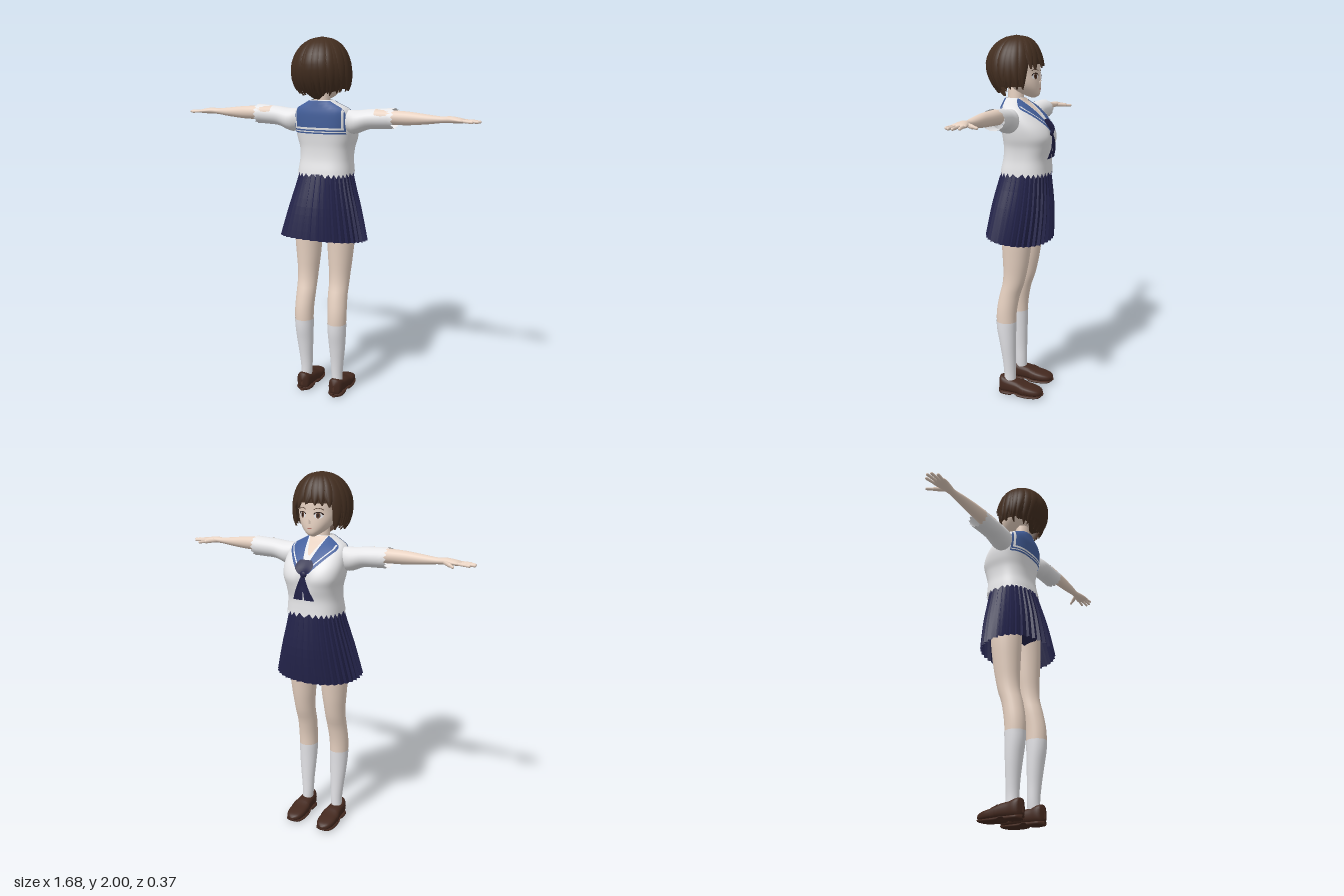
import * as THREE from 'three';

const mat = (name, color) => Object.assign(
  new THREE.MeshStandardMaterial({ color, side: THREE.DoubleSide }), { name });
const M = {
  hair: mat('brown hair', 0x432e20), skin: mat('skin', 0xf6dfce), shirt: mat('white blouse', 0xececee),
  sock: mat('white sock', 0xe6e6ea), navy: mat('navy cloth', 0x23234a), blue: mat('blue collar', 0x44609c),
  shoe: mat('brown leather', 0x44291f), iris: mat('brown iris', 0x5e3c2a), dark: mat('dark lash', 0x2a1a14),
  lip: mat('lip', 0xb5756a),
};
const lerp = THREE.MathUtils.lerp;

// Smooth interpolation through rows [t, a, b, ...] sorted by t
function sample(rows, t) {
  let i = 0;
  while (i < rows.length - 2 && t > rows[i + 1][0]) i++;
  const slope = (k, c) => {
    const a = rows[Math.max(k - 1, 0)], b = rows[Math.min(k + 1, rows.length - 1)];
    return (b[c] - a[c]) / (b[0] - a[0]);
  };
  const p = rows[i], q = rows[i + 1], h = q[0] - p[0];
  const s = THREE.MathUtils.clamp((t - p[0]) / h, 0, 1), s2 = s * s, s3 = s2 * s;
  return p.slice(1).map((v, k) => (2 * s3 - 3 * s2 + 1) * v + (3 * s2 - 2 * s3) * q[k + 1]
    + h * ((s3 - 2 * s2 + s) * slope(i, k + 1) + (s3 - s2) * slope(i + 1, k + 1)));
}

// Surface from f(u, v); closed joins u = 1 to u = 0
function grid(nu, nv, f, closed = true) {
  const pos = [], idx = [], w = closed ? nu : nu + 1;
  for (let j = 0; j <= nv; j++) for (let i = 0; i < w; i++) pos.push(...f(i / nu, j / nv, i));
  for (let j = 0; j < nv; j++) for (let i = 0; i < nu; i++) {
    const a = j * w + i, b = j * w + (i + 1) % w, c = a + w, d = b + w;
    idx.push(a, b, d, a, d, c);
  }
  const g = new THREE.BufferGeometry();
  g.setAttribute('position', new THREE.Float32BufferAttribute(pos, 3));
  g.setIndex(idx);
  g.computeVertexNormals();
  return g;
}
const oval = (u, e) => [Math.cos(u * 2 * Math.PI), Math.sin(u * 2 * Math.PI)]
  .map(c => Math.sign(c) * Math.abs(c) ** (2 / e));
// Point on an upright form; rows [y, centre x, half width, back z, front z]
function around(rows, y, u, e = 2, grow = 0) {
  const [cx, rx, zb, zf] = sample(rows, y), [c, s] = oval(u, e);
  return [cx + (rx + grow) * c, y, (zb + zf) / 2 - ((zb - zf) / 2 + grow) * s];
}
const column = (rows, y0, y1, nu, nv, e = 2, grow = 0) =>
  grid(nu, nv, (u, v) => around(rows, lerp(y0, y1, v), u, e, grow));
// Form along x; rows [x, centre y, half height, centre z, half depth]
const limb = (rows, nu, nv, zig = 0) => grid(nu, nv, (u, v, i) => {
  const x = lerp(rows[0][0], rows.at(-1)[0], v), [cy, ry, cz, rz] = sample(rows, x), [c, s] = oval(u, 2);
  return [x + (v === 1 ? zig * (i % 2) : 0), cy + ry * c, cz + rz * s];
});
// z of a form at a given x and y; side 1 = back, -1 = front
function depth(rows, x, y, side, e) {
  const [cx, rx, zb, zf] = sample(rows, y), k = Math.min(Math.abs((x - cx) / rx), 0.99);
  return (zb + zf) / 2 + side * (zb - zf) / 2 * (1 - k ** e) ** (1 / e);
}

const HEAD = [[1.675, 0, .006, -.06, -.075], [1.685, 0, .026, -.03, -.097], [1.71, 0, .06, .02, -.104],
  [1.75, 0, .09, .07, -.104], [1.8, 0, .11, .13, -.1], [1.86, 0, .12, .15, -.098], [1.92, 0, .1, .13, -.075],
  [1.96, 0, .05, .08, -.03], [1.97, 0, .004, .03, .02]];
const HAIR = [[1.68, 0, .085, .095, -.05], [1.72, 0, .132, .13, -.09], [1.77, 0, .152, .162, -.104],
  [1.82, 0, .157, .18, -.11], [1.87, 0, .15, .181, -.109], [1.92, 0, .13, .16, -.095],
  [1.96, 0, .097, .125, -.07], [1.985, 0, .055, .08, -.035], [1.996, 0, .004, .03, .02]];
const TORSO = [[1.265, 0, .151, .101, -.166], [1.3, 0, .148, .095, -.163], [1.36, 0, .142, .082, -.162],
  [1.42, 0, .146, .079, -.176], [1.47, 0, .16, .083, -.184], [1.52, 0, .167, .088, -.165],
  [1.57, 0, .165, .09, -.125], [1.61, 0, .155, .09, -.085], [1.635, 0, .135, .086, -.055],
  [1.655, 0, .095, .083, -.03], [1.675, 0, .058, .08, -.015]];
const SLEEVE = [[.08, 1.575, .04, .005, .035], [.13, 1.57, .053, .005, .045], [.17, 1.563, .062, .01, .06],
  [.2, 1.565, .06, .011, .064], [.26, 1.58, .052, .008, .06], [.33, 1.585, .052, .004, .058], [.39, 1.588, .053, .002, .06]];
const ARM = [[.3, 1.594, .04, .02, .04], [.4, 1.594, .037, .022, .037], [.48, 1.593, .034, .024, .032],
  [.58, 1.592, .024, .024, .026], [.65, 1.593, .016, .022, .02], [.69, 1.595, .017, .022, .027],
  [.74, 1.592, .013, .022, .037], [.768, 1.59, .007, .022, .034], [.772, 1.59, .001, .022, .01]];
const LEG = [[.05, .1, .028, .065, 0], [.12, .096, .031, .065, 0], [.2, .098, .036, .072, 0], [.3, .1, .045, .087, -.001],
  [.4, .101, .051, .104, -.003], [.5, .101, .0535, .105, -.008], [.6, .097, .055, .088, -.027], [.66, .097, .056, .072, -.048],
  [.72, .097, .059, .066, -.063], [.8, .097, .067, .068, -.078], [.94, .0975, .078, .075, -.095], [1.1, .09, .085, .08, -.1]];
const SKIRT = [[.92, 0, .243, .175, -.167], [1, 0, .222, .163, -.172], [1.1, 0, .195, .145, -.174],
  [1.2, 0, .165, .12, -.167], [1.285, 0, .143, .097, -.158]];
// Shoe rows [z, half width, top y, bottom y]
const SHOE = [[-.165, .008, .034, .02], [-.152, .033, .047, .014], [-.11, .05, .06, .01], [-.06, .051, .07, .01],
  [-.02, .047, .085, .012], [.03, .042, .093, .012], [.07, .039, .104, .01], [.09, .026, .1, .012], [.096, .004, .07, .03]];
const SOLE = [[-.168, .008, .026, .016], [-.15, .038, .02, .005], [-.1, .053, .018, 0], [-.03, .05, .02, 0],
  [-.012, .047, .022, .012], [.006, .045, .022, .012], [.012, .045, .022, 0], [.075, .041, .022, 0], [.098, .01, .022, 0]];
const shoeForm = (rows, z0, z1, n, grow = 0) => grid(24, n, (u, v) => {
  const z = lerp(z0, z1, v), [hw, t, b] = sample(rows, z), [c, s] = oval(u, 2.7);
  return [.1 + (hw + grow) * c, Math.max(0, (t + b) / 2 + ((t - b) / 2 + grow) * s), z];
});

export function createModel() {
  const model = new THREE.Group();
  const add = (name, geo, material, parent = model) => {
    const m = new THREE.Mesh(geo, material);
    m.name = name;
    parent.add(m);
    return m;
  };
  let seed = 7;
  const rnd = () => (seed = (seed * 16807) % 2147483647) / 2147483647;

  // Head, neck and face
  add('head', column(HEAD, 1.675, 1.97, 32, 28, 2.2), M.skin);
  add('neck', column([[1.62, 0, .045, .072, -.02], [1.73, 0, .04, .07, -.01]], 1.62, 1.73, 20, 2), M.skin);
  const nose = add('nose', new THREE.ConeGeometry(.009, .026, 8), M.skin);
  nose.position.set(0, 1.757, -.106);
  nose.rotation.x = -.6;
  const facePatch = (name, geo, x, y, sx, sy, off, material) => {
    geo.scale(sx, sy, 1).rotateY(Math.PI).translate(x, y, 0);
    const p = geo.attributes.position;
    for (let i = 0; i < p.count; i++) p.setZ(i, depth(HEAD, p.getX(i), p.getY(i), -1, 2.2) - off);
    geo.computeVertexNormals();
    add(name, geo, material);
  };
  for (const s of [-1, 1]) {
    facePatch('eyeWhite', new THREE.CircleGeometry(1, 20), s * .046, 1.786, .022, .015, .002, M.sock);
    facePatch('iris', new THREE.CircleGeometry(1, 20), s * .045, 1.786, .011, .015, .003, M.iris);
    facePatch('pupil', new THREE.CircleGeometry(1, 14), s * .045, 1.786, .005, .008, .004, M.dark);
    facePatch('lash', new THREE.RingGeometry(.84, 1.1, 16, 1, .25, 2.64), s * .046, 1.786, .024, .017, .004, M.dark);
    facePatch('brow', new THREE.RingGeometry(.92, 1.02, 12, 1, .7, 1.75), s * .046, 1.795, .034, .028, .003, M.hair);
  }
  facePatch('mouth', new THREE.CircleGeometry(1, 14), 0, 1.72, .014, .0025, .002, M.lip);

  // Hair: a cap with a fringe opening, covered by pointed locks
  const hairEnd = u => {
    const front = Math.sin(u * 2 * Math.PI);
    return front > .68 ? 1.835 : front > -.5 ? 1.722 : 1.712 + .02 * (front + .5);
  };
  add('hairCap', grid(64, 18, (u, v) =>
    around(HAIR, lerp(hairEnd(u) + .012, 1.996, Math.sin(v * Math.PI / 2)), u, 2, -.003)), M.hair);
  add('napeHair', grid(10, 4, (u, v) => {
    const x = (u - .5) * lerp(.03, .18, v), y = lerp(1.68, 1.74, v);
    return [x, y, depth(HAIR, x, y, 1, 2) - .003];
  }, false), M.hair);
  const locks = new THREE.Group();
  locks.name = 'hairLocks';
  model.add(locks);
  for (let layer = 0; layer < 2; layer++) for (let k = 0; k < 22; k++) {
    const u0 = (k + layer * .5 + (rnd() - .5) * .4) / 22, end = hairEnd(u0 - Math.floor(u0)) + (rnd() - .6) * .03 + layer * .012;
    const width = .062 + rnd() * .02, sweep = (rnd() - .5) * .05;
    add('lock', grid(6, 14, (u, v) => {
      const y = lerp(end, 1.993, Math.sin(v * Math.PI / 2));
      const a = u0 + sweep * (1 - v) + (u - .5) * width * Math.min(1, v * 3.2 + .04) ** .7;
      const bulge = (.009 - .003 * layer) * (1 - (2 * u - 1) ** 2) * (1 - v * .7) - .002;
      return around(HAIR, y, a, 2, bulge + .012 * Math.max(0, .25 - v));
    }, false), M.hair, locks);
  }

  // Blouse with ragged hem and a soft dip at the centre of the chest
  const dip = (x, y) => .02 * Math.exp(-((x / .035) ** 2) - ((y - 1.46) / .06) ** 2);
  add('blouse', grid(56, 36, (u, v, i) => {
    const y = v === 0 ? 1.265 + .022 * (i % 2) : lerp(1.287, 1.675, v), p = around(TORSO, y, u, 2.7);
    if (p[2] < -.04) p[2] += dip(p[0], y);
    return p;
  }), M.shirt);
  // Thin cloth laid on the torso; left and right edges are functions of v
  const cloth = (name, side, y0, y1, left, right, off, material) => add(name, grid(12, 14, (u, v) => {
    const y = lerp(y0, y1, v), lim = .93 * sample(TORSO, y)[1];
    const a = lerp(left(v), right(v), side > 0 ? u : 1 - u), x = THREE.MathUtils.clamp(a, -lim, lim);
    return [x, y, depth(TORSO, x, y, side, 2.7) + side * off + (side < 0 ? dip(x, y) : 0)];
  }, false), material);
  const k = c => () => c;
  cloth('backCollar', 1, 1.5, 1.672, k(-.146), k(.146), .005, M.blue);
  cloth('collarStripe', 1, 1.522, 1.533, k(-.14), k(.14), .008, M.shirt);
  cloth('collarStripe', 1, 1.508, 1.514, k(-.146), k(.146), .008, M.shirt);
  cloth('neckline', -1, 1.585, 1.673, v => -.006 - .045 * v, v => .006 + .045 * v, .003, M.skin);
  for (const s of [-1, 1]) {
    cloth('collarSideStripe', 1, 1.522, 1.63, k(s * .128), k(s * .139), .008, M.shirt);
    const inner = v => s * .055 * v, outer = v => s * Math.min(.03 + .16 * v, .135);
    cloth('frontCollar', -1, 1.5, 1.672, inner, outer, .006, M.blue);
    cloth('frontCollarStripe', -1, 1.51, 1.635, v => outer(v * .75) - s * .02, v => outer(v * .75) - s * .011, .009, M.shirt);
    cloth('scarfBand', -1, 1.49, 1.565, k(0), v => s * (.012 + .04 * Math.sin(v * 2.6)), .011, M.navy);
    cloth('scarfTail', -1, 1.36, 1.495, v => s * .034 * (1 - v) - .022 * (1 - v) - .007,
      v => s * .034 * (1 - v) + .022 * (1 - v) + .007, .012, M.navy);
  }
  const knot = add('scarfKnot', new THREE.SphereGeometry(1, 14, 10), M.navy);
  knot.scale.set(.018, .018, .011);
  knot.position.set(0, 1.495, depth(TORSO, 0, 1.495, -1, 2.7) + .006);

  // Pleated skirt, longer in front
  const skirt = grid(144, 8, (u, v, i) => {
    const y = lerp(.92, 1.285, v), pleat = [.003, -.002, -.006, -.011][i % 4] * (1.15 - v * .8);
    const p = around(SKIRT, y, u, 2.15, pleat + .003);
    p[1] -= .018 * Math.sin(u * 2 * Math.PI) * (1 - v);
    return p;
  }).toNonIndexed();
  skirt.computeVertexNormals();
  add('skirt', skirt, M.navy);
  add('hips', column([[.97, 0, .05, .03, -.05], [1, 0, .15, .08, -.1], [1.1, 0, .16, .1, -.12], [1.25, 0, .13, .08, -.13]],
    .97, 1.25, 28, 8), M.navy);

  // Arms and legs, mirrored
  const up = new THREE.Vector3(0, 1, 0);
  for (const s of [1, -1]) {
    const side = new THREE.Group();
    side.name = s > 0 ? 'leftLimbs' : 'rightLimbs';
    side.scale.x = s;
    model.add(side);
    add('sleeve', limb(SLEEVE, 28, 16, .014), M.shirt, side);
    add('arm', limb(ARM, 20, 30), M.skin, side);
    const finger = (name, a, b, r) => {
      const p = new THREE.Vector3(...a), d = new THREE.Vector3(...b).sub(p);
      const m = add(name, new THREE.CapsuleGeometry(r, d.length(), 4, 8), M.skin, side);
      m.position.copy(p).addScaledVector(d, .5);
      m.quaternion.setFromUnitVectors(up, d.normalize());
    };
    [[-.004, .812, -.013], [.014, .832, .011], [.032, .827, .034], [.047, .802, .055]].forEach(([z, x, zt]) =>
      finger('finger', [.75, 1.591, z], [x, 1.588, zt], .0075));
    finger('thumb', [.685, 1.592, .008], [.725, 1.588, -.035], .011);
    finger('thumbTip', [.72, 1.588, -.03], [.749, 1.586, -.064], .0075);
    add('leg', column(LEG, .42, 1.1, 26, 26), M.skin, side);
    add('sock', column(LEG, .05, .44, 26, 18, 2, .0015), M.sock, side);
    add('shoe', shoeForm(SHOE, -.165, .096, 30), M.shoe, side);
    add('shoeStrap', shoeForm(SHOE, -.065, -.035, 3, .003), M.shoe, side);
    add('sole', shoeForm(SOLE, -.168, .098, 44), M.shoe, side);
  }
  return model;
}
